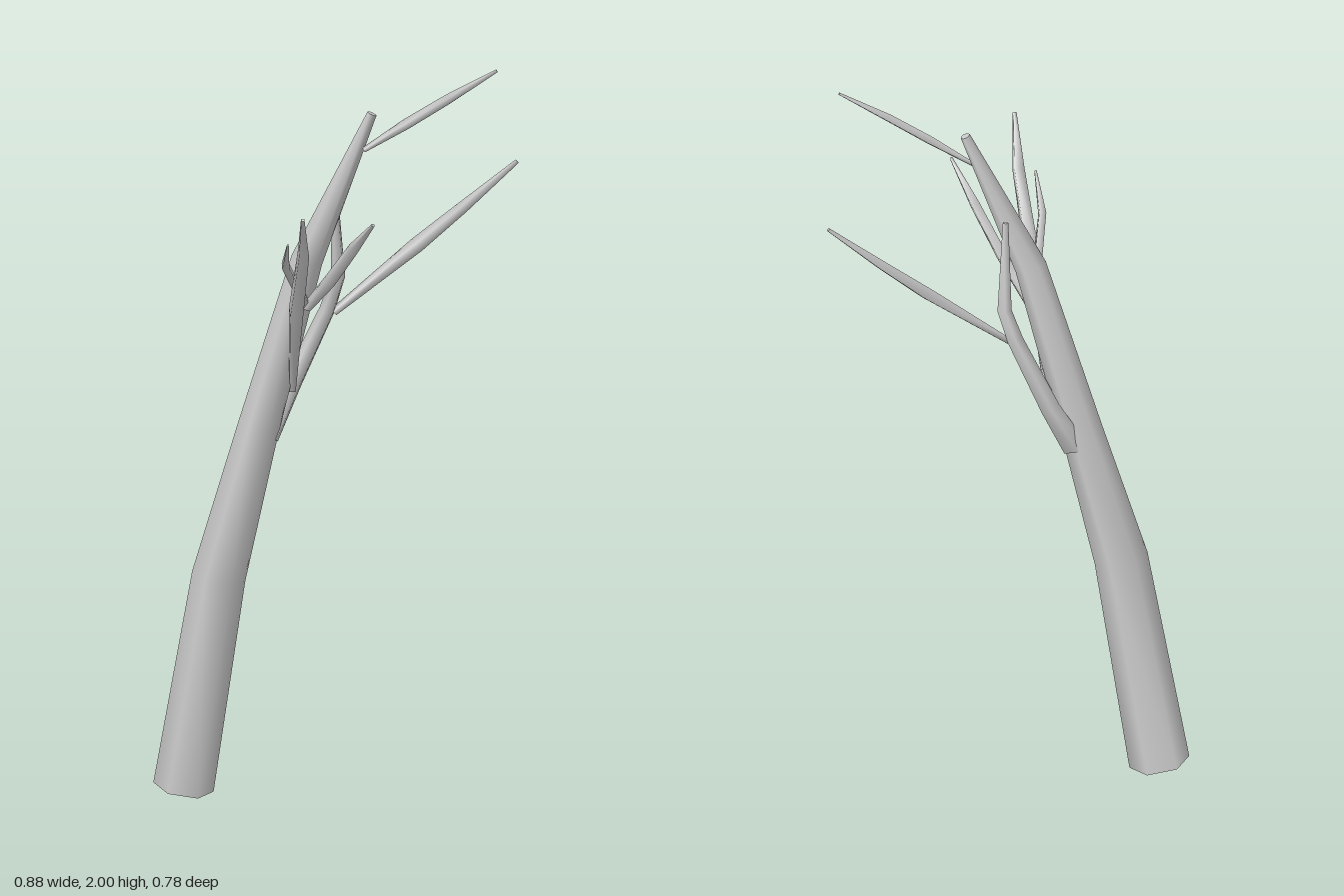
import * as THREE from 'three';

const material = new THREE.MeshStandardMaterial({ color: 0xcccccc, side: THREE.DoubleSide });

// Tapered limb through rings [x, y, z, radius], smooth around the sides, flat at both ends
function limb(name, rings, sides) {
  const centres = rings.map(([x, y, z]) => new THREE.Vector3(x, y, z));
  const last = rings.length - 1;
  const loops = rings.map(([, , , r], i) => {
    const before = centres[Math.max(i - 1, 0)], after = centres[Math.min(i + 1, last)];
    const t = after.clone().sub(before).normalize();
    const v = new THREE.Vector3(0, 0, 1).addScaledVector(t, -t.z).normalize();
    const u = t.clone().cross(v);
    return Array.from({ length: sides }, (_, k) => {
      const a = (k / sides) * Math.PI * 2;
      return centres[i].clone().addScaledVector(v, r * Math.cos(a)).addScaledVector(u, r * Math.sin(a));
    });
  });

  // Winding: v -> u runs clockwise seen from the tip
  const points = loops.flat(), index = [];
  for (let i = 0; i < last; i++) {
    for (let k = 0; k < sides; k++) {
      const a = i * sides + k, b = i * sides + ((k + 1) % sides);
      index.push(a, a + sides, b, b, a + sides, b + sides);
    }
  }
  // End caps use their own vertices so their edge stays sharp
  for (const [loop, top] of [[loops[0], false], [loops[last], true]]) {
    const s = points.length;
    points.push(...loop);
    for (let k = 1; k < sides - 1; k++) {
      if (top) index.push(s, s + k + 1, s + k);
      else index.push(s, s + k, s + k + 1);
    }
  }
  const geometry = new THREE.BufferGeometry().setFromPoints(points);
  geometry.setIndex(index);
  geometry.computeVertexNormals();
  const mesh = new THREE.Mesh(geometry, material);
  mesh.name = name;
  return mesh;
}

export function createModel() {
  const tree = new THREE.Group();
  tree.name = 'bareTree';

  // Leaning trunk
  tree.add(limb('trunk', [
    [-0.372, 0.012, 0.06, 0.08], [-0.257, 0.6, 0.073, 0.071], [-0.172, 1.0, 0.012, 0.055],
    [-0.027, 1.47, 0.008, 0.042], [0.13, 1.87, -0.062, 0.013],
  ], 6));

  // Forked limb at the back
  tree.add(limb('backBranch', [
    [-0.16, 0.97, -0.015, 0.034], [-0.12, 1.11, -0.08, 0.027], [-0.03, 1.31, -0.104, 0.022],
    [-0.004, 1.4, -0.115, 0.02], [0.01, 1.64, -0.074, 0.008],
  ], 5));

  // Slender twigs, thickest near the middle
  const twigs = {
    topTwig: [[0.118, 1.775, -0.04, 0.007], [0.22, 1.848, -0.085, 0.014],
      [0.32, 1.918, -0.13, 0.013], [0.435, 1.997, -0.19, 0.004]],
    backTwig: [[-0.015, 1.305, -0.11, 0.011], [0.16, 1.48, -0.242, 0.021],
      [0.26, 1.58, -0.31, 0.016], [0.38, 1.703, -0.388, 0.006]],
    frontTwig: [[-0.1, 1.1, -0.04, 0.012], [0.03, 1.37, 0.16, 0.024],
      [0.135, 1.57, 0.3, 0.019], [0.183, 1.685, 0.385, 0.006]],
    leftTwig: [[-0.02, 1.345, 0.02, 0.014], [0.08, 1.44, 0.07, 0.018],
      [0.18, 1.55, 0.118, 0.016], [0.275, 1.638, 0.178, 0.005]],
    forkTwig: [[-0.02, 1.35, 0.02, 0.014], [-0.003, 1.42, 0.105, 0.014],
      [0.03, 1.505, 0.215, 0.013], [0.082, 1.583, 0.29, 0.004]],
  };
  for (const [name, rings] of Object.entries(twigs)) tree.add(limb(name, rings, 4));

  return tree;
}
